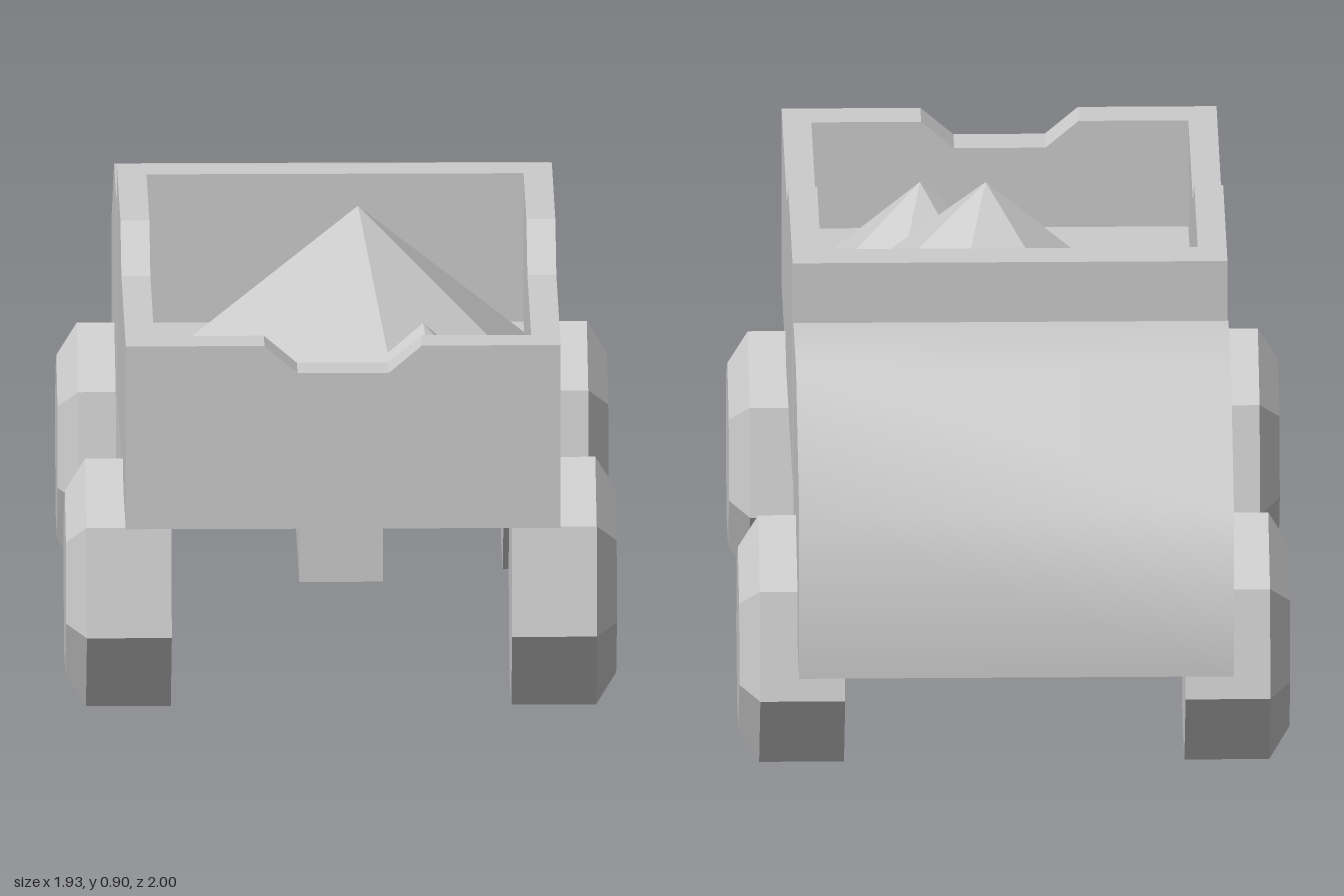
import * as THREE from 'three';

const flat = new THREE.MeshStandardMaterial({ color: 0xcccccc, flatShading: true, side: THREE.DoubleSide });
const smooth = new THREE.MeshStandardMaterial({ color: 0xcccccc, side: THREE.DoubleSide });
const V2 = (x, y) => new THREE.Vector2(x, y);
const shapeOf = (pts) => new THREE.Shape(pts.map(([a, b]) => V2(a, b)));

function add(parent, name, geometry, x = 0, y = 0, z = 0, material = flat) {
  const mesh = new THREE.Mesh(geometry, material);
  mesh.name = name;
  mesh.position.set(x, y, z);
  parent.add(mesh);
  return mesh;
}

// Box with some of its faces left out (0..5 = +x, -x, +y, -y, +z, -z)
function openBox(w, h, d, removed) {
  const g = new THREE.BoxGeometry(w, h, d);
  const index = Array.from(g.index.array).filter((_, i) => !removed.includes(Math.floor(i / 6)));
  g.setIndex(index);
  g.clearGroups();
  return g;
}

// Sheet that follows a (z, y) profile across the width, with smooth normals
function sheet(profile, half) {
  const pos = [], idx = [];
  profile.forEach(([z, y], i) => {
    pos.push(-half, y, z, half, y, z);
    if (i > 0) {
      const a = 2 * i - 2;
      idx.push(a, a + 2, a + 3, a, a + 3, a + 1);
    }
  });
  const g = new THREE.BufferGeometry();
  g.setAttribute('position', new THREE.Float32BufferAttribute(pos, 3));
  g.setIndex(idx);
  g.computeVertexNormals();
  return g;
}

export function createModel() {
  const model = new THREE.Group();
  model.name = 'dumpTruck';
  // The truck is built along +z, then turned to its diagonal stance
  const truck = new THREE.Group();
  truck.name = 'truck';
  truck.rotation.y = 2.402;
  model.add(truck);

  const half = 0.428;

  // Cab: open underneath, smooth over roof, windscreen and nose
  const cab = new THREE.Group();
  cab.name = 'cab';
  truck.add(cab);
  const back = 0.335, nose = 0.958, low = 0.26, roof = 0.79;
  const top = [[back, roof], [0.615, roof], [nose, 0.6], [nose, low]];
  add(cab, 'cabShell', sheet(top, half), 0, 0, 0, smooth);
  const side = new THREE.ShapeGeometry(shapeOf([[back, low], ...top.slice().reverse()])).rotateY(-Math.PI / 2);
  for (const s of [-1, 1]) add(cab, s > 0 ? 'cabLeftSide' : 'cabRightSide', side, s * half);
  add(cab, 'cabBack', new THREE.PlaneGeometry(2 * half, roof - low).rotateY(Math.PI), 0, (roof + low) / 2, back);

  // Cargo bed: thin skirt below the floor, thick walls above it
  const bed = new THREE.Group();
  bed.name = 'cargoBed';
  truck.add(bed);
  const tail = -0.97, front = 0.233, floor = 0.58, bottom = 0.43;
  const sideT = 0.057, endT = 0.087, length = front - tail, mid = (front + tail) / 2;
  add(bed, 'bedSkirt', openBox(2 * half, floor - bottom, length, [2, 3]), 0, (floor + bottom) / 2, mid);
  add(bed, 'bedFloor', new THREE.PlaneGeometry(2 * half, length).rotateX(-Math.PI / 2), 0, floor, mid);

  // Side walls step up towards the cab
  const wall = new THREE.ExtrudeGeometry(
    shapeOf([[tail, floor], [front, floor], [front, 0.88], [-0.24, 0.88], [-0.38, 0.8], [tail, 0.8]]),
    { depth: sideT, bevelEnabled: false }
  ).rotateY(-Math.PI / 2);
  add(bed, 'bedLeftWall', wall, half);
  add(bed, 'bedRightWall', wall, -half + sideT);

  // Front wall and notched tailgate between the sides
  const inner = half - sideT;
  add(bed, 'bedFrontWall', new THREE.BoxGeometry(2 * inner, 0.88 - floor, endT), 0, (0.88 + floor) / 2, front - endT / 2);
  const tailgate = new THREE.ExtrudeGeometry(
    shapeOf([[-inner, floor], [inner, floor], [inner, 0.8], [0.155, 0.8], [0.09, 0.745],
      [-0.09, 0.745], [-0.155, 0.8], [-inner, 0.8]]),
    { depth: endT, bevelEnabled: false }
  );
  add(bed, 'tailgate', tailgate, 0, 0, tail);

  // Two seven-sided heaps of cargo with short skirts through the floor
  const heaps = [[-0.04, -0.207, 0.37, 0.9], [-0.162, -0.623, 0.185, 0.762]];
  for (const [x, z, r, peak] of heaps) {
    const heap = new THREE.LatheGeometry([V2(r, 0.54), V2(r, 0.6), V2(0, peak)], 7, 0.64);
    add(bed, 'cargoHeap', heap, x, 0, z);
  }

  // Chassis beam, open underneath
  add(truck, 'chassisBeam', openBox(0.165, 0.145, 1.265, [3]), 0, 0.3275, -0.0575);

  // Seven-sided wheels with a chamfered outer face
  const r = 0.25;
  const tyre = new THREE.LatheGeometry(
    [V2(0, 0.335), V2(r, 0.335), V2(r, 0.502), V2(0.185, 0.542), V2(0, 0.542)], 7
  ).rotateZ(-Math.PI / 2).rotateX(-Math.PI / 2);
  for (const [place, z] of [['front', 0.585], ['rear', -0.56]]) {
    for (const s of [-1, 1]) {
      const wheel = add(truck, place + (s > 0 ? 'LeftWheel' : 'RightWheel'), tyre, 0, r * Math.cos(Math.PI / 7), z);
      if (s < 0) wheel.rotation.y = Math.PI;
    }
  }
  return model;
}
